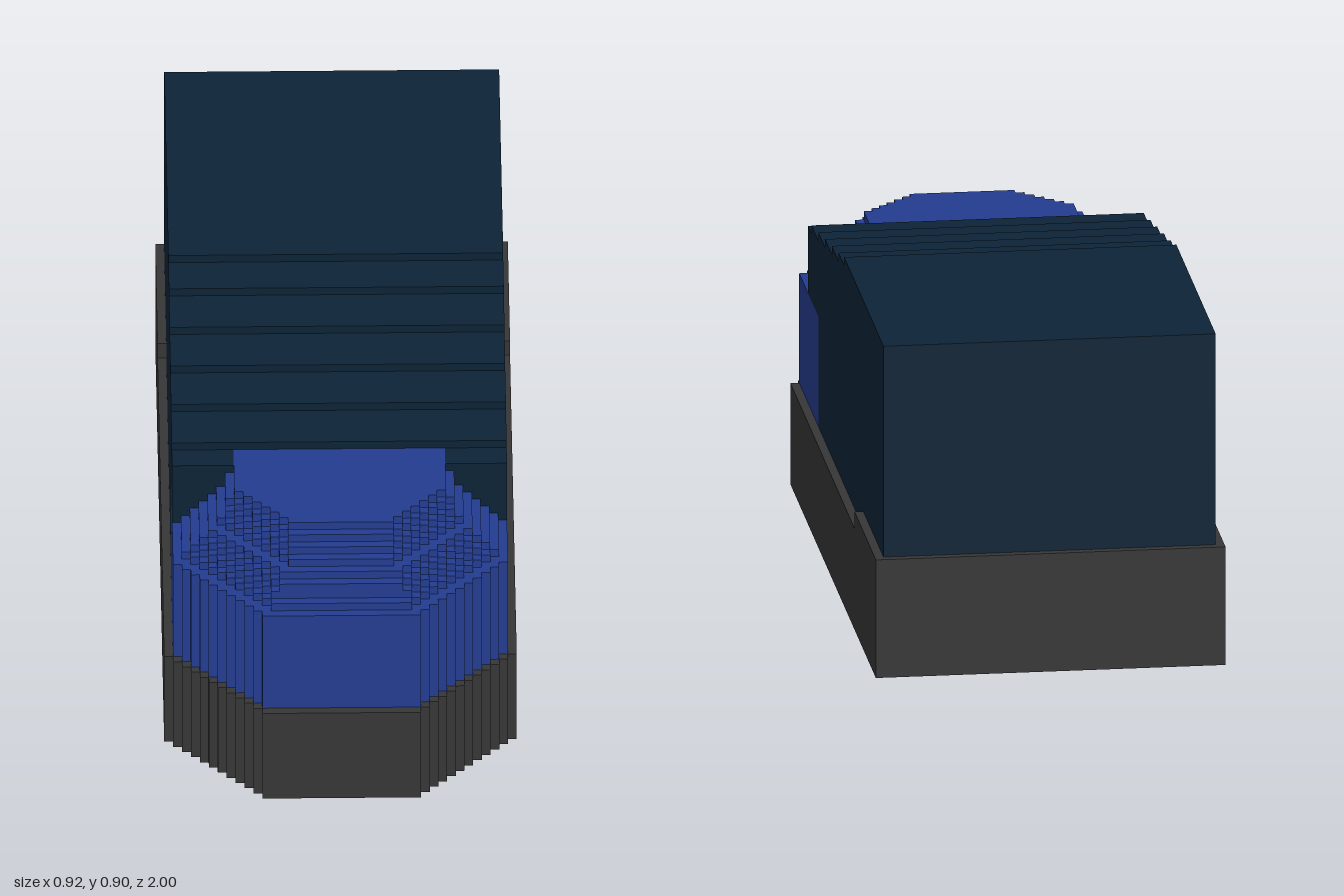
import * as THREE from 'three';

const U = 2 / 87; // one block; rows are counted in blocks back from the nose

const mat = (name, color) => Object.assign(new THREE.MeshStandardMaterial({ color }), { name });

export function createModel() {
  const model = new THREE.Group();
  model.name = 'blockVehicle';
  const grey = mat('dark grey', 0x363636);
  const blue = mat('cab blue', 0x233c8f);
  const navy = mat('navy', 0x0d2336);

  const add = (name, geometry, material) => {
    const mesh = new THREE.Mesh(geometry, material);
    mesh.name = name;
    model.add(mesh);
  };

  // Box given by block ranges: x, y and row
  const box = (name, material, x0, x1, y0, y1, r0, r1) => {
    const g = new THREE.BoxGeometry((x1 - x0) * U, (y1 - y0) * U, (r1 - r0) * U);
    g.translate((x0 + x1) / 2 * U, (y0 + y1) / 2 * U, 1 - (r0 + r1) / 2 * U);
    add(name, g, material);
  };

  // Slab whose front corners are cut in single-block stairs
  const steppedSlab = (name, material, y0, y1, front, back, noseHalf, half) => {
    const side = [];
    for (let w = noseHalf, r = front; w <= half; w++, r++) {
      side.push([w, r], [w, w < half ? r + 1 : back]);
    }
    const outline = [...side, ...side.map(([x, r]) => [-x, r]).reverse()];
    const shape = new THREE.Shape(outline.map(([x, r]) => new THREE.Vector2(x * U, r * U - 1)));
    const g = new THREE.ExtrudeGeometry(shape, { depth: (y1 - y0) * U, bevelEnabled: false });
    g.rotateX(-Math.PI / 2).translate(0, y0 * U, 0);
    add(name, g, material);
  };

  // Chassis with raised tail
  steppedSlab('chassis', grey, 0, 12, 0, 87, 9, 20);
  box('raisedTail', grey, -20, 20, 12, 14, 68, 87);

  // Cab: straight lower walls, then layers [front row, nose half-width, half-width]
  steppedSlab('cabLower', blue, 12, 25, 1, 28, 9, 19);
  [[2, 8, 18], [3, 8, 17], [3, 7, 16], [4, 7, 15], [5, 6, 14], [6, 6, 13], [7, 6, 13], [8, 6, 12]]
    .forEach(([front, nose, half], i) =>
      steppedSlab('cabLayer' + (i + 1), blue, 25 + i, 26 + i, front, i === 7 ? 22 : 19, nose, half));

  // Body: overhang above the cab sides, with a notch for the cab roof
  box('bodyOverhang', navy, -19, 19, 25, 32, 19, 28);
  for (const s of [-1, 1]) {
    box(s > 0 ? 'leftRoofShoulder' : 'rightRoofShoulder', navy,
      Math.min(12 * s, 19 * s), Math.max(12 * s, 19 * s), 32, 33, 19, 22);
  }
  box('bodyFrontRoof', navy, -19, 19, 32, 34, 22, 28);

  // Main body and its stepped roof
  box('body', navy, -19, 19, 12, 34, 28, 86);
  [28, 34, 40, 46, 51].forEach((row, i) =>
    box('roofStep' + (i + 1), navy, -19, 19, 34 + i, 35 + i, row, 86));

  return model;
}
